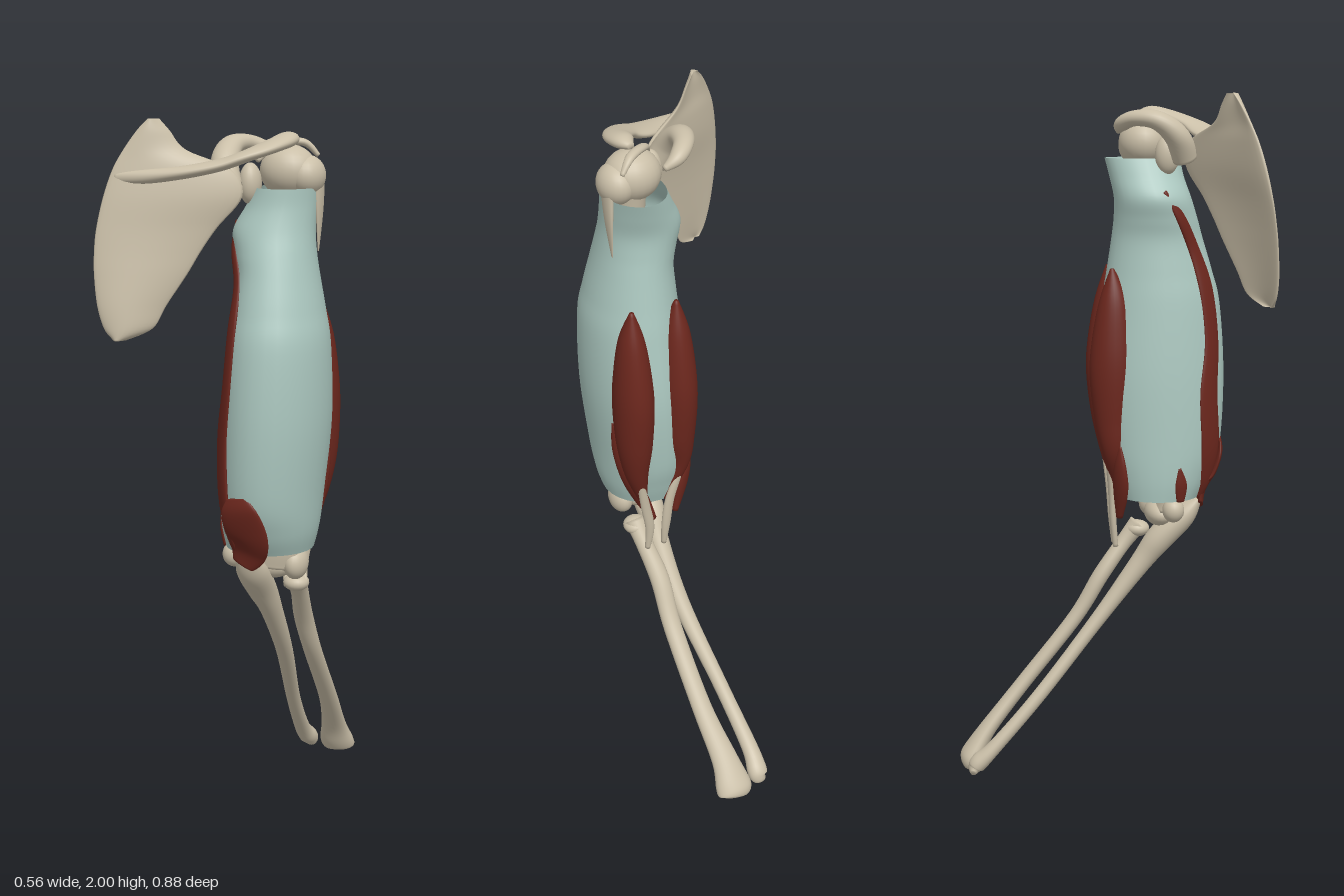
import * as THREE from 'three';

const SEG = 28;

// Catmull-Rom interpolation of rows of numbers
function smooth(rows, steps = 6) {
  const out = [], last = rows.length - 1;
  for (let i = 0; i < last; i++) {
    const p0 = rows[Math.max(i - 1, 0)], p1 = rows[i], p2 = rows[i + 1], p3 = rows[Math.min(i + 2, last)];
    for (let s = 0; s < steps; s++) {
      const t = s / steps;
      out.push(p1.map((b, k) => {
        const a = p0[k], c = p2[k], d = p3[k];
        return b + 0.5 * t * (c - a + t * (2 * a - 5 * b + 4 * c - d + t * (3 * (b - c) + d - a)));
      }));
    }
  }
  out.push(rows[last]);
  return out;
}

// Skin over a list of closed rings, with optional end caps
function skinRings(rings, capped = true) {
  const n = rings[0].length, pos = [], index = [];
  rings.flat().forEach(p => pos.push(p.x, p.y, p.z));
  for (let i = 0; i < rings.length - 1; i++) {
    for (let j = 0; j < n; j++) {
      const a = i * n + j, b = i * n + (j + 1) % n;
      index.push(a, b, a + n, b, b + n, a + n);
    }
  }
  if (capped) {
    [0, rings.length - 1].forEach((r, end) => {
      const c = new THREE.Vector3();
      rings[r].forEach(p => c.addScaledVector(p, 1 / n));
      const k = pos.length / 3;
      pos.push(c.x, c.y, c.z);
      for (let j = 0; j < n; j++) {
        const a = r * n + j, b = r * n + (j + 1) % n;
        if (end) index.push(k, a, b); else index.push(k, b, a);
      }
    });
  }
  const g = new THREE.BufferGeometry();
  g.setAttribute('position', new THREE.Float32BufferAttribute(pos, 3));
  g.setIndex(index);
  g.computeVertexNormals();
  return g;
}

const ringOf = f => Array.from({ length: SEG }, (_, j) => {
  const t = j / SEG * Math.PI * 2;
  return f(Math.cos(t), Math.sin(t));
});

// Elliptical sweep: rows are x, y, z, half width, half depth (depth along ref)
function sweep(rows, ref = new THREE.Vector3(0, 0, 1)) {
  const path = smooth(rows), pts = path.map(r => new THREE.Vector3(r[0], r[1], r[2]));
  return skinRings(path.map((r, i) => {
    const T = pts[Math.min(i + 1, pts.length - 1)].clone().sub(pts[Math.max(i - 1, 0)]).normalize();
    const side = ref.clone().cross(T).normalize(), up = T.clone().cross(side);
    const a = Math.max(r[3], 0.001), b = Math.max(r[4], 0.001);
    return ringOf((c, s) => pts[i].clone().addScaledVector(side, a * c).addScaledVector(up, b * s));
  }));
}

// Sleeve profile: y, min x, max x, min z, max z
const sleeveRows = smooth([
  [1.82, 0.06, 0.228, 0, 0.218], [1.77, 0.035, 0.226, 0.012, 0.226], [1.71, 0.005, 0.226, 0.024, 0.246],
  [1.65, 0.015, 0.232, 0.024, 0.266], [1.59, 0.025, 0.242, 0.018, 0.284],
  [1.5, 0.017, 0.26, 0.005, 0.312], [1.4, 0.005, 0.276, -0.01, 0.337], [1.2, -0.01, 0.278, -0.03, 0.35],
  [1.0, -0.015, 0.26, -0.015, 0.34], [0.9, -0.015, 0.25, 0.01, 0.31], [0.84, -0.01, 0.235, 0.03, 0.28],
]);
const onSleeve = ([y, x0, x1, z0, z1], c, s) =>
  new THREE.Vector3((x0 + x1) / 2 + (x1 - x0) / 2 * c, y, (z0 + z1) / 2 + (z1 - z0) / 2 * s);

// Muscle lying on the sleeve: rows are y, angle in degrees, half width, bulge
function surfaceMuscle(rows) {
  const out = rows.map(([y, deg, w, h]) => {
    const near = sleeveRows.reduce((m, r) => Math.abs(r[0] - y) < Math.abs(m[0] - y) ? r : m);
    const t = deg * Math.PI / 180, p = onSleeve(near, Math.cos(t), Math.sin(t));
    return [p.x, y, p.z, w, h];
  });
  const t = rows[rows.length >> 1][1] * Math.PI / 180;
  return sweep(out, new THREE.Vector3(Math.cos(t) / 0.14, 0, Math.sin(t) / 0.19).normalize());
}

export function createModel() {
  const model = new THREE.Group();
  const bone = new THREE.MeshStandardMaterial({ color: 0xcabfa8 });
  const muscle = new THREE.MeshStandardMaterial({ color: 0x6c271d });
  const teal = new THREE.MeshStandardMaterial({ color: 0xacc8c0, side: THREE.DoubleSide });
  bone.name = 'bone'; muscle.name = 'muscle red'; teal.name = 'sleeve teal';
  const UP = new THREE.Vector3(0, 1, 0);
  const add = (name, mat, geo) => {
    const m = new THREE.Mesh(geo, mat);
    m.name = name;
    model.add(m);
    return m;
  };
  const blob = (name, p, r) => {
    const m = add(name, bone, new THREE.SphereGeometry(1, 24, 16));
    m.position.set(...p);
    m.scale.set(...r);
  };

  // Open sleeve round the upper arm
  add('sleeve', teal, skinRings(sleeveRows.map(r => ringOf((c, s) => onSleeve(r, c, s))), false));

  // Shoulder blade: y, medial x, lateral x, half thickness
  const blade = smooth([
    [2.0, -0.165, -0.14, 0.006], [1.97, -0.19, -0.115, 0.01], [1.92, -0.22, -0.075, 0.012],
    [1.87, -0.243, 0.03, 0.018], [1.8, -0.262, 0.06, 0.02], [1.72, -0.275, 0.005, 0.014],
    [1.66, -0.278, -0.03, 0.012], [1.6, -0.276, -0.06, 0.012], [1.52, -0.266, -0.105, 0.012],
    [1.46, -0.248, -0.135, 0.01], [1.43, -0.225, -0.195, 0.005],
  ]);
  add('shoulderBlade', bone, skinRings(blade.map(([y, x0, x1, h]) => ringOf((c, s) => {
    const x = (x0 + x1) / 2 + (x1 - x0) / 2 * c;
    const plane = 0.325 - 0.53 * (x + 0.15) - 0.124 * (y - 2);
    return new THREE.Vector3(x, y, plane - 0.015 * c * c + h * s);
  }))));
  add('shoulderBladeSpine', bone, sweep([
    [-0.235, 1.85, 0.378, 0.006, 0.012], [-0.16, 1.853, 0.362, 0.018, 0.018], [-0.06, 1.865, 0.328, 0.034, 0.017],
    [0.03, 1.885, 0.285, 0.045, 0.016], [0.1, 1.912, 0.25, 0.042, 0.016], [0.145, 1.935, 0.19, 0.038, 0.018],
    [0.155, 1.946, 0.135, 0.03, 0.019], [0.15, 1.945, 0.1, 0.01, 0.008],
  ], UP));
  add('coracoid', bone, sweep([
    [0.02, 1.82, 0.215, 0.035, 0.035], [-0.005, 1.88, 0.19, 0.038, 0.034], [-0.01, 1.925, 0.135, 0.034, 0.027],
    [0.012, 1.932, 0.075, 0.027, 0.022], [0.05, 1.915, 0.04, 0.022, 0.02], [0.09, 1.895, 0.035, 0.008, 0.008],
  ], UP));
  blob('shoulderSocket', [0.06, 1.83, 0.17], [0.03, 0.055, 0.035]);
  add('shoulderLigament', bone, sweep([
    [0.205, 1.9, 0.045, 0.006, 0.006], [0.17, 1.935, 0.065, 0.013, 0.01],
    [0.11, 1.93, 0.11, 0.013, 0.01], [0.075, 1.89, 0.16, 0.008, 0.008],
  ], UP));

  // Upper arm bone
  blob('upperArmHead', [0.145, 1.862, 0.11], [0.078, 0.07, 0.07]);
  blob('upperArmTubercle', [0.195, 1.85, 0.105], [0.05, 0.055, 0.06]);
  add('upperArmShaft', bone, sweep([
    [0.16, 1.87, 0.11, 0.06, 0.06], [0.155, 1.75, 0.11, 0.04, 0.04], [0.14, 1.4, 0.14, 0.03, 0.03],
    [0.13, 1.0, 0.17, 0.035, 0.028], [0.12, 0.86, 0.18, 0.085, 0.03], [0.115, 0.79, 0.17, 0.085, 0.035],
  ]));
  add('upperArmRidge', bone, sweep([
    [0.224, 1.86, 0.095, 0.015, 0.03], [0.226, 1.76, 0.09, 0.008, 0.022], [0.222, 1.65, 0.085, 0.001, 0.004],
  ]));
  blob('innerCondyle', [0.02, 0.81, 0.19], [0.034, 0.036, 0.032]);
  blob('outerCondyle', [0.19, 0.795, 0.155], [0.034, 0.047, 0.048]);
  blob('elbowPulley', [0.11, 0.785, 0.16], [0.075, 0.04, 0.045]);

  // Forearm bones
  add('ulna', bone, sweep([
    [0.09, 0.83, 0.27, 0.03, 0.014], [0.09, 0.78, 0.23, 0.045, 0.036], [0.09, 0.71, 0.16, 0.042, 0.04],
    [0.095, 0.63, 0.1, 0.032, 0.031], [0.085, 0.465, -0.025, 0.026, 0.022], [0.045, 0.25, -0.2, 0.022, 0.02],
    [0.022, 0.1, -0.335, 0.025, 0.021], [0.024, 0.05, -0.385, 0.031, 0.026],
    [0.024, 0.03, -0.4, 0.026, 0.02], [0.01, 0.018, -0.405, 0.01, 0.008],
  ]));
  blob('radiusHead', [0.17, 0.72, 0.1], [0.037, 0.025, 0.037]);
  add('radius', bone, sweep([
    [0.17, 0.735, 0.105, 0.032, 0.03], [0.165, 0.68, 0.06, 0.026, 0.024], [0.15, 0.58, -0.012, 0.029, 0.024],
    [0.15, 0.45, -0.09, 0.028, 0.022], [0.14, 0.25, -0.25, 0.03, 0.022], [0.122, 0.12, -0.355, 0.04, 0.025],
    [0.117, 0.05, -0.4, 0.055, 0.032], [0.116, 0.025, -0.415, 0.054, 0.03], [0.118, 0.014, -0.42, 0.04, 0.018],
  ]));

  // Paired flexor bellies with their tendons
  [[0.07, 'inner'], [0.205, 'outer']].forEach(([x, side]) => {
    add(side + 'Flexor', muscle, sweep([
      [x, 1.51, 0.015, 0.006, 0.006], [x, 1.42, 0.02, 0.036, 0.042], [x, 1.3, 0.02, 0.052, 0.064],
      [x, 1.2, 0.02, 0.056, 0.07], [x, 1.08, 0.02, 0.05, 0.057], [x - 0.005, 0.98, 0.025, 0.035, 0.04],
      [0.7 * x + 0.04, 0.89, 0.03, 0.018, 0.02], [0.5 * x + 0.07, 0.84, 0.03, 0.006, 0.006],
    ]));
    add(side + 'FlexorTendon', bone, sweep([
      [x - 0.005, 0.96, 0.004, 0.01, 0.009], [0.6 * x + 0.055, 0.85, 0.016, 0.014, 0.01],
      [0.4 * x + 0.08, 0.76, 0.022, 0.014, 0.01], [0.4 * x + 0.085, 0.68, 0.03, 0.008, 0.008],
    ]));
  });

  // Flatter muscles showing through the sleeve
  add('outerDeepMuscle', muscle, surfaceMuscle([
    [1.14, -32, 0.003, 0.003], [1.05, -36, 0.02, 0.009], [0.95, -46, 0.028, 0.012],
    [0.86, -60, 0.025, 0.014], [0.78, -75, 0.01, 0.01],
  ]));
  add('innerDeepMuscle', muscle, surfaceMuscle([
    [1.0, -134, 0.004, 0.003], [0.94, -130, 0.022, 0.012], [0.87, -122, 0.028, 0.016],
    [0.78, -110, 0.01, 0.01],
  ]));
  add('longExtensor', muscle, surfaceMuscle([
    [1.73, 165, 0.006, 0.004], [1.66, 150, 0.016, 0.007], [1.57, 137, 0.02, 0.009], [1.45, 132, 0.027, 0.009],
    [1.3, 131, 0.028, 0.008], [1.15, 136, 0.036, 0.009], [1.0, 130, 0.036, 0.009],
    [0.9, 122, 0.025, 0.009], [0.84, 115, 0.01, 0.008],
  ]));
  add('lowerExtensor', muscle, surfaceMuscle([
    [1.01, 104, 0.03, 0.004], [0.97, 101, 0.055, 0.01], [0.9, 94, 0.064, 0.012],
    [0.85, 96, 0.056, 0.013], [0.81, 104, 0.034, 0.01],
  ]));
  add('innerExtensor', muscle, surfaceMuscle([
    [0.94, 165, 0.004, 0.003], [0.89, 160, 0.018, 0.007], [0.84, 155, 0.012, 0.006],
  ]));
  return model;
}
